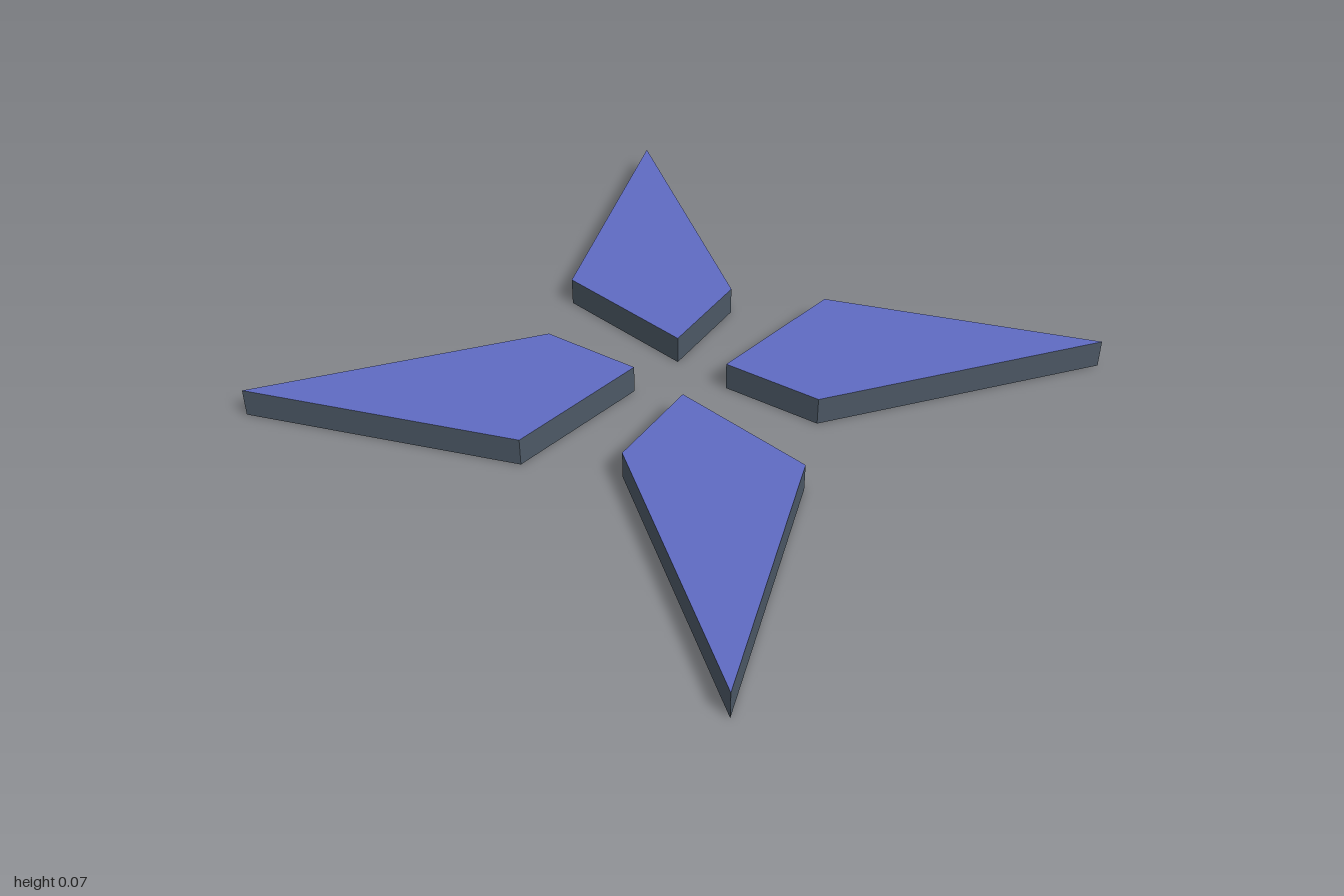
import * as THREE from 'three';

const HEIGHT = 0.07;

// Kite-shaped blade pointing along +x, standing on y = 0
function bladeGeometry() {
  const shape = new THREE.Shape([
    new THREE.Vector2(0.107, 0),
    new THREE.Vector2(0.305, -0.143),
    new THREE.Vector2(1, 0.039),
    new THREE.Vector2(0.367, 0.25),
  ]);
  const geometry = new THREE.ExtrudeGeometry(shape, { depth: HEIGHT, bevelEnabled: false });
  geometry.rotateX(-Math.PI / 2);

  // Bottom, top and rim faces: only the top takes the blue material
  geometry.clearGroups();
  geometry.addGroup(0, 6, 1);
  geometry.addGroup(6, 6, 0);
  geometry.addGroup(12, 24, 1);
  return geometry;
}

export function createModel() {
  const model = new THREE.Group();
  model.name = 'fourBladeStar';

  const blue = new THREE.MeshStandardMaterial({ color: 0x5f6bc3 });
  blue.name = 'indigo blue';
  const slate = new THREE.MeshStandardMaterial({ color: 0x4c5865 });
  slate.name = 'slate grey';

  // Four blades, a quarter turn apart
  const geometry = bladeGeometry();
  ['leftBlade', 'backBlade', 'rightBlade', 'frontBlade'].forEach((name, i) => {
    const blade = new THREE.Mesh(geometry, [blue, slate]);
    blade.name = name;
    blade.rotation.y = (i * Math.PI) / 2;
    model.add(blade);
  });

  return model;
}
